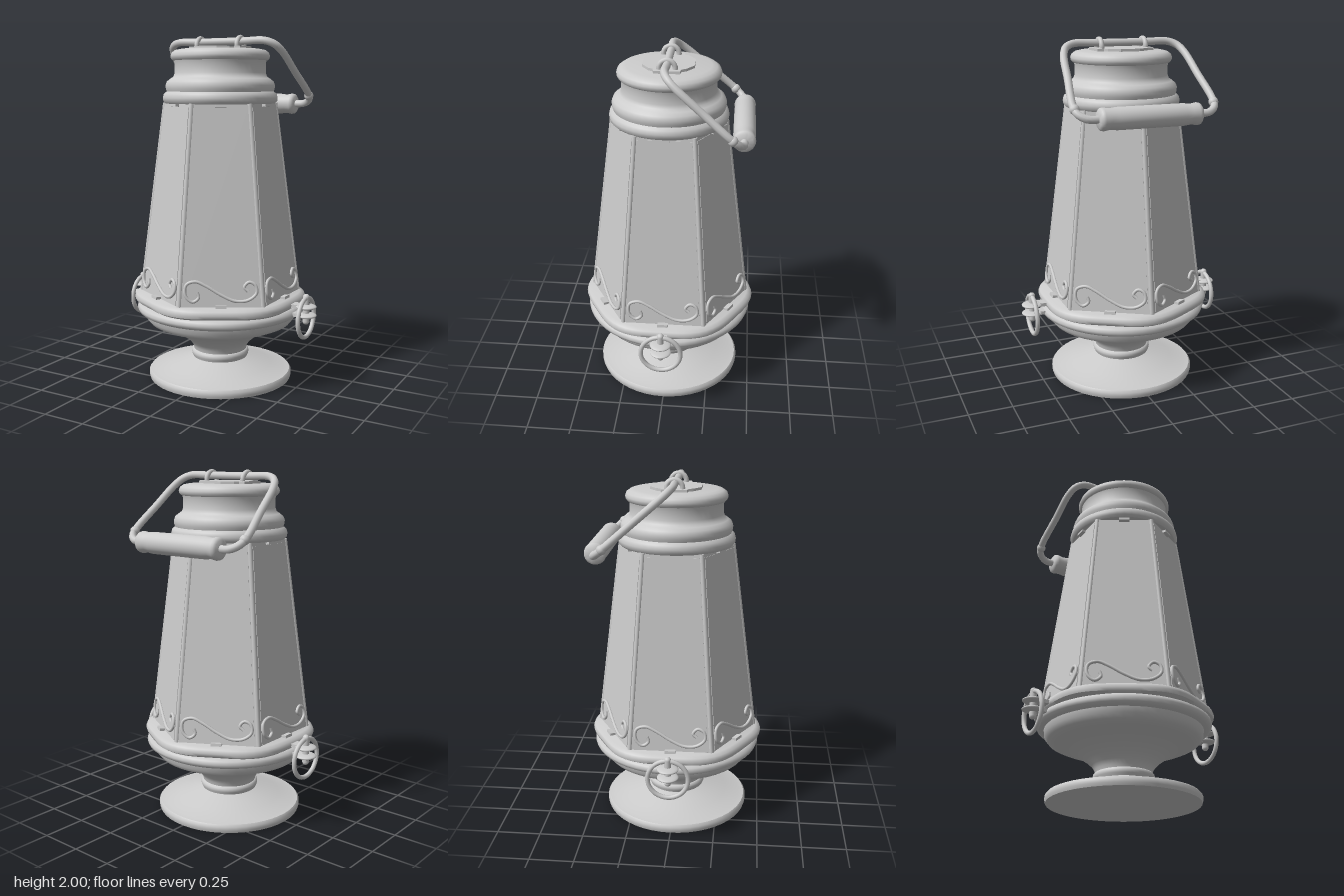
import * as THREE from 'three';
import { toCreasedNormals } from 'three/addons/utils/BufferGeometryUtils.js';

const grey = new THREE.MeshStandardMaterial({ color: 0xcccccc });
const flat = new THREE.MeshStandardMaterial({ color: 0xcccccc, flatShading: true });

const Y0 = 0.52, Y1 = 1.62, R0 = 0.47, R1 = 0.325; // hexagonal glass body
const A0 = R0 * Math.cos(Math.PI / 6), A1 = R1 * Math.cos(Math.PI / 6);
const TILT = Math.atan((A0 - A1) / (Y1 - Y0));
const SLANT = (Y1 - Y0) / Math.cos(TILT);

function add(parent, name, geometry, position = [0, 0, 0], material = grey) {
  const mesh = new THREE.Mesh(geometry, material);
  mesh.name = name;
  mesh.position.set(...position);
  parent.add(mesh);
  return mesh;
}

const lathe = (points, segments = 48) =>
  new THREE.LatheGeometry(points.map(p => new THREE.Vector2(...p)), segments);
const turned = (points, segments) => toCreasedNormals(lathe(points, segments), 0.75);

// Smooth tube through a list of points
function tube(points, radius, closed = false, segments = 96, type = 'centripetal') {
  const curve = new THREE.CatmullRomCurve3(points.map(p => new THREE.Vector3(...p)), closed, type);
  return new THREE.TubeGeometry(curve, segments, radius, 10, closed);
}

// Straight rod between two points
function rod(parent, name, a, b, radius) {
  const va = new THREE.Vector3(...a), vb = new THREE.Vector3(...b);
  const dir = vb.clone().sub(va);
  const mesh = add(parent, name, new THREE.CylinderGeometry(radius, radius, dir.length(), 8));
  mesh.position.copy(va).add(vb).multiplyScalar(0.5);
  mesh.quaternion.setFromUnitVectors(new THREE.Vector3(0, 1, 0), dir.normalize());
}

function addBase(root) {
  add(root, 'foot', turned([[0, 0], [0.42, 0], [0.425, 0.015], [0.425, 0.035], [0.415, 0.048],
    [0.385, 0.052], [0.3, 0.078], [0.2, 0.108], [0.16, 0.12]]));
  add(root, 'stemCollar', turned([[0.15, 0.112], [0.16, 0.115], [0.163, 0.125], [0.168, 0.135],
    [0.17, 0.145], [0.168, 0.157], [0.16, 0.166], [0.15, 0.168]]));
  add(root, 'bowl', turned([[0.155, 0.16], [0.16, 0.185], [0.175, 0.21], [0.205, 0.24], [0.25, 0.272],
    [0.31, 0.303], [0.38, 0.327], [0.42, 0.345], [0.44, 0.37], [0.445, 0.41], [0.3, 0.42]]));
  add(root, 'lowerRim', turned([[0.42, 0.4], [0.465, 0.403], [0.484, 0.415], [0.49, 0.432],
    [0.484, 0.45], [0.465, 0.462], [0.4, 0.466]]));

  // Upper rim: circle pressed slightly towards a hexagon
  const rim = lathe([[0.4, 0.458], [0.48, 0.46], [0.5, 0.472], [0.505, 0.49], [0.497, 0.51],
    [0.475, 0.521], [0, 0.524]], 72);
  const p = rim.attributes.position;
  for (let i = 0; i < p.count; i++) {
    const angle = Math.atan2(p.getX(i), p.getZ(i));
    const k = 1 - 0.035 * (1 - Math.cos(6 * angle)) / 2 * 1.5;
    p.setX(i, p.getX(i) * k);
    p.setZ(i, p.getZ(i) * k);
  }
  add(root, 'upperRim', toCreasedNormals(rim, 0.75));
}

function addBody(root) {
  add(root, 'lanternBody', new THREE.CylinderGeometry(R1, R0, Y1 - Y0, 6), [0, (Y0 + Y1) / 2, 0], flat);

  const pane = new THREE.ExtrudeGeometry(new THREE.Shape([[-0.21, 0.005], [0.21, 0.005],
    [0.147, SLANT - 0.02], [-0.147, SLANT - 0.02]].map(q => new THREE.Vector2(...q))),
    { depth: 0.003, bevelEnabled: false });

  // S-shaped scroll: hook, long diagonal, opposite hook
  const scroll = tube([[-0.13, 0.085], [-0.122, 0.055], [-0.155, 0.032], [-0.193, 0.065], [-0.19, 0.125],
    [-0.14, 0.143], [-0.08, 0.118], [0, 0.07], [0.08, 0.036], [0.15, 0.042], [0.194, 0.08],
    [0.186, 0.125], [0.152, 0.14], [0.127, 0.112], [0.148, 0.09]].map(([u, v]) => [u, v, 0.008]), 0.009);

  for (let i = 0; i < 6; i++) {
    const a = i * Math.PI / 3, f = a + Math.PI / 6;
    const s = Math.sin(a), c = Math.cos(a);
    rod(root, 'cornerPost', [s * (R0 - 0.01), Y0, c * (R0 - 0.01)], [s * (R1 - 0.01), Y1, c * (R1 - 0.01)], 0.014);

    const side = new THREE.Group();
    side.name = 'sidePanel';
    side.rotation.order = 'YXZ';
    side.rotation.set(-TILT, f, 0);
    side.position.set(Math.sin(f) * A0, Y0, Math.cos(f) * A0);
    root.add(side);
    add(side, 'pane', pane);
    add(side, 'scroll', scroll);
    add(side, 'bottomClip', new THREE.BoxGeometry(0.06, 0.018, 0.04), [0, 0.004, 0.012]);
    add(side, 'topClip', new THREE.BoxGeometry(0.06, 0.02, 0.03), [0, SLANT - 0.008, 0.008]);
  }
}

function addCap(root) {
  add(root, 'shoulder', turned([[0, 1.618], [0.315, 1.618], [0.327, 1.63], [0.33, 1.65], [0.324, 1.672],
    [0.307, 1.685], [0.312, 1.7], [0.314, 1.72], [0.306, 1.742], [0.285, 1.758], [0.268, 1.77],
    [0.261, 1.79], [0.26, 1.84], [0.266, 1.862]]));
  add(root, 'lid', turned([[0.25, 1.857], [0.272, 1.86], [0.282, 1.872], [0.284, 1.886], [0.277, 1.904],
    [0.258, 1.917], [0.23, 1.923], [0, 1.926]]));

  // Eight-cornered plate with stepped ends
  const quarter = [[0.165, 0.07], [0.13, 0.075], [0.115, 0.1], [0.055, 0.14]];
  const mirror = quarter.map(([x, y]) => [-x, y]).reverse();
  const half = [...quarter, ...mirror];
  const outline = [...half, ...half.map(([x, y]) => [-x, -y])];
  const plate = add(root, 'topPlate', new THREE.ExtrudeGeometry(
    new THREE.Shape(outline.map(q => new THREE.Vector2(...q))),
    { depth: 0.018, bevelEnabled: false }), [0, 1.92, 0]);
  plate.rotation.x = -Math.PI / 2;
}

function addHandle(root) {
  for (const x of [-0.13, 0.13]) {
    const loop = add(root, 'handleLoop', new THREE.TorusGeometry(0.043, 0.014, 10, 28), [x, 1.943, 0]);
    loop.rotation.y = Math.PI / 2;
  }
  // Swinging bail, resting tilted towards the back
  const handle = new THREE.Group();
  handle.name = 'handle';
  handle.position.set(0, 1.965, 0);
  handle.rotation.x = Math.atan2(0.415, 0.355);
  root.add(handle);
  const right = [[0.14, 0], [0.28, 0], [0.33, -0.03], [0.357, -0.09], [0.378, -0.26],
    [0.4, -0.45], [0.388, -0.505], [0.345, -0.54], [0.28, -0.546]];
  const left = right.map(([x, y]) => [-x, y]).reverse();
  add(handle, 'bail', tube([...right, ...left].map(([x, y]) => [x, y, 0]), 0.021, true, 160));
  for (const x of [-0.397, 0.397]) add(handle, 'bailBead', new THREE.SphereGeometry(0.027, 16, 12), [x, -0.47, 0]);
  const grip = add(handle, 'grip', turned([[0, -0.29], [0.045, -0.29], [0.058, -0.28], [0.061, -0.265],
    [0.055, -0.23], [0.06, -0.19], [0.06, 0.19], [0.055, 0.23], [0.061, 0.265], [0.058, 0.28],
    [0.045, 0.29], [0, 0.29]], 28), [0, -0.546, 0]);
  grip.rotation.z = Math.PI / 2;
}

function addSideRings(root) {
  for (const s of [-1, 1]) {
    const group = new THREE.Group();
    group.name = s > 0 ? 'leftRing' : 'rightRing';
    group.position.x = s * 0.555;
    root.add(group);
    const disc = new THREE.SphereGeometry(0.06, 24, 12).scale(1, 0.24, 1);
    for (const y of [0.438, 0.488]) {
      add(group, 'bracketDisc', disc, [0, y, 0]);
      add(group, 'bracketArm', new THREE.BoxGeometry(0.1, 0.02, 0.06), [-s * 0.07, y, 0]);
    }
    add(group, 'bracketPin', new THREE.CapsuleGeometry(0.019, 0.14, 6, 14), [0, 0.473, 0]);
    const ring = add(group, 'ring', new THREE.TorusGeometry(0.112, 0.013, 10, 40), [0, 0.425, 0]);
    ring.rotation.y = Math.PI / 2;
  }
}

export function createModel() {
  const root = new THREE.Group();
  root.name = 'lantern';
  addBase(root);
  addBody(root);
  addCap(root);
  addHandle(root);
  addSideRings(root);
  return root;
}
